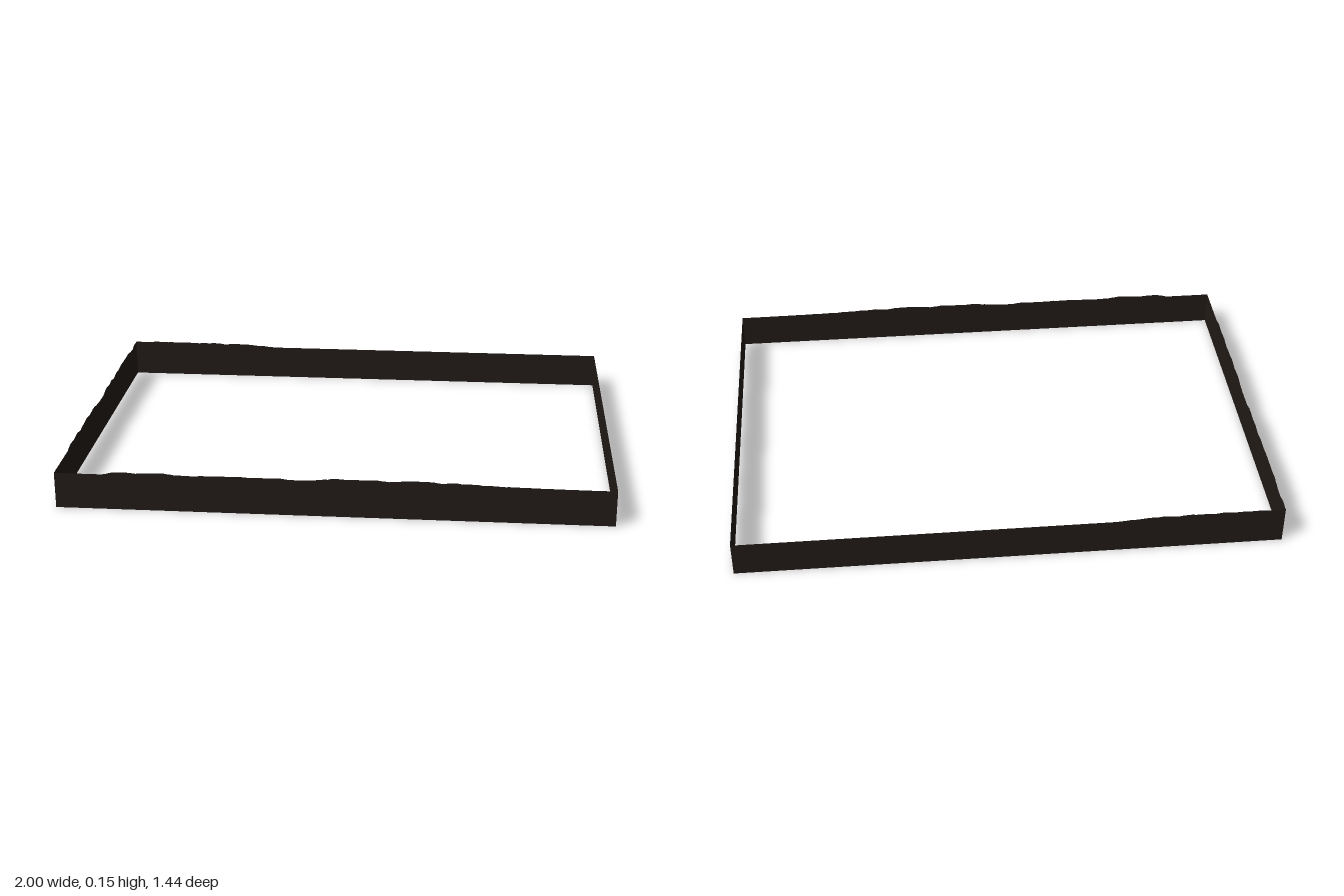
import * as THREE from 'three';

const HALF_X = 1, HALF_Z = 0.722, BASE = 0.134;

// Piecewise-linear ridge height from [position, height] points, plus fine roughness on raised ground
function ridge(points, t) {
  let h = points[points.length - 1][1];
  if (t <= points[0][0]) h = points[0][1];
  else for (let i = 1; i < points.length; i++) {
    const [a, ha] = points[i - 1], [b, hb] = points[i];
    if (t <= b) { h = ha + (hb - ha) * (t - a) / (b - a); break; }
  }
  const rough = Math.sin(t * 91) * 0.6 + Math.sin(t * 173 + 1) * 0.4;
  return h + rough * 0.0015 * Math.min(1, Math.max(0, (h - BASE) / 0.005));
}

// Open upright sheet whose top edge follows the ridge
function wall(name, length, points, material) {
  const n = 128;
  const geometry = new THREE.PlaneGeometry(length, 1, points.length > 2 ? n : 1, 1);
  const p = geometry.attributes.position;
  for (let i = 0; i < p.count; i++) {
    p.setY(i, p.getY(i) > 0 ? ridge(points, p.getX(i)) : 0);
  }
  geometry.computeVertexNormals();
  const mesh = new THREE.Mesh(geometry, material);
  mesh.name = name;
  return mesh;
}

export function createModel() {
  const group = new THREE.Group();
  group.name = 'terrainSkirt';
  const earth = new THREE.MeshStandardMaterial({ color: 0x221a17, side: THREE.DoubleSide });

  // Front wall, position along +x
  const front = wall('frontWall', 2 * HALF_X, [
    [-0.82, 0.134], [-0.78, 0.145], [-0.7, 0.142], [-0.62, 0.146], [-0.54, 0.138], [-0.44, 0.14],
    [-0.34, 0.141], [-0.25, 0.139], [-0.2, 0.141], [-0.12, 0.135], [-0.06, 0.138], [0, 0.146],
    [0.08, 0.144], [0.15, 0.146], [0.21, 0.141], [0.26, 0.146], [0.34, 0.147], [0.38, 0.141],
    [0.43, 0.144], [0.5, 0.141], [0.6, 0.137], [0.75, 0.135], [0.9, 0.134],
  ], earth);
  front.position.z = HALF_Z;

  // Back wall, turned around so position runs along -x
  const back = wall('backWall', 2 * HALF_X, [
    [0.38, 0.134], [0.48, 0.142], [0.55, 0.146], [0.6, 0.143], [0.66, 0.147], [0.72, 0.144],
    [0.78, 0.147], [0.85, 0.145], [0.9, 0.147], [0.95, 0.143], [1, 0.144],
  ], earth);
  back.rotation.y = Math.PI;
  back.position.z = -HALF_Z;

  // Wall on the -x side, turned so position runs along +z
  const rough = wall('roughSideWall', 2 * HALF_Z, [
    [-0.72, 0.144], [-0.67, 0.145], [-0.64, 0.136], [-0.6, 0.138], [-0.55, 0.147], [-0.48, 0.145],
    [-0.42, 0.147], [-0.35, 0.143], [-0.31, 0.145], [-0.26, 0.137], [-0.22, 0.146], [-0.18, 0.139],
    [-0.15, 0.145], [-0.11, 0.143], [-0.07, 0.134], [0.01, 0.134], [0.06, 0.14], [0.11, 0.146],
    [0.16, 0.14], [0.2, 0.147], [0.26, 0.143], [0.32, 0.138], [0.37, 0.146], [0.43, 0.14],
    [0.47, 0.146], [0.52, 0.134],
  ], earth);
  rough.rotation.y = -Math.PI / 2;
  rough.position.x = -HALF_X;

  // Level wall on the +x side
  const level = wall('levelSideWall', 2 * HALF_Z, [[-1, BASE], [1, BASE]], earth);
  level.rotation.y = Math.PI / 2;
  level.position.x = HALF_X;

  group.add(front, back, rough, level);
  return group;
}
